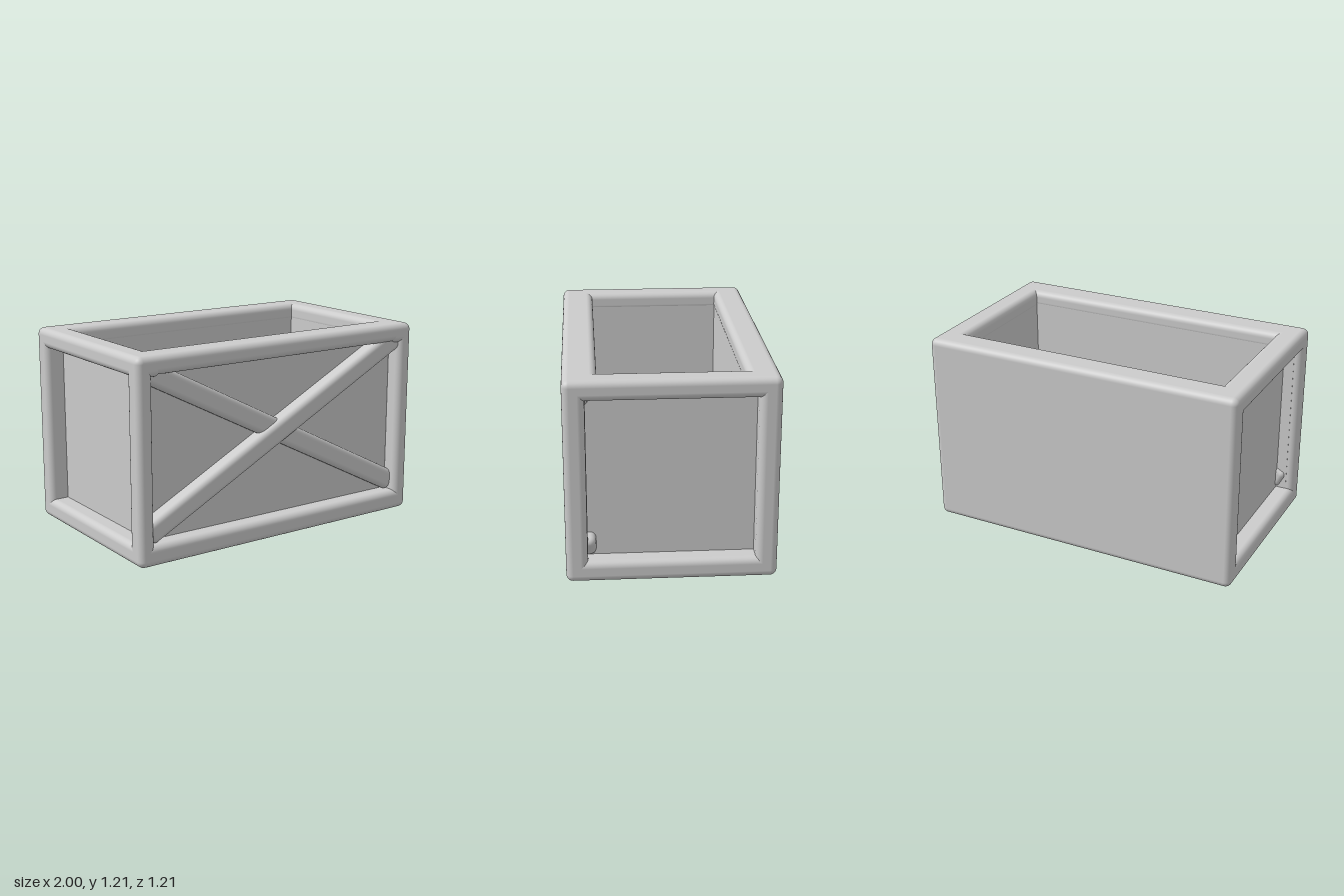
import * as THREE from 'three';
import { RoundedBoxGeometry } from 'three/addons/geometries/RoundedBoxGeometry.js';

const material = new THREE.MeshStandardMaterial({ color: 0xcccccc });

// Box given by its min and max on each axis; radius 0 keeps sharp edges.
function block(group, name, [x0, x1], [y0, y1], [z0, z1], radius = 0) {
  const size = [x1 - x0, y1 - y0, z1 - z0];
  const geometry = radius
    ? new RoundedBoxGeometry(...size, 5, radius)
    : new THREE.BoxGeometry(...size);
  const mesh = new THREE.Mesh(geometry, material);
  mesh.name = name;
  mesh.position.set((x0 + x1) / 2, (y0 + y1) / 2, (z0 + z1) / 2);
  group.add(mesh);
  return mesh;
}

export function createModel() {
  const crate = new THREE.Group();
  crate.name = 'crate';
  const H = 1.21, D = 0.605, R = 0.04;

  // Plain base and back
  block(crate, 'base', [-1, 1], [0, 0.125], [-D, D], R);
  block(crate, 'back', [-1, 1], [0, H], [-D, -0.48], R);

  // Top rim
  block(crate, 'rimFront', [-1, 1], [1.1, H], [0.41, D], R);
  block(crate, 'rimBack', [-1, 1], [1.09, H], [-D, -0.42], R);
  for (const [side, s] of [['Left', 1], ['Right', -1]]) {
    const span = (a, b) => (s > 0 ? [a, b] : [-b, -a]);
    block(crate, 'rim' + side, span(0.84, 1), [1.09, H], [-D, D], R);
    // Front corner post and recessed end panel
    block(crate, 'post' + side, span(0.9, 1), [0, H], [0.48, D], R);
    block(crate, 'endPanel' + side, span(0.842, 0.885), [0.06, 1.15], [-0.5, 0.49]);
  }

  // Inner walls and the recessed front panel
  block(crate, 'innerBackWall', [-0.87, 0.87], [0.06, 1.15], [-0.5, -0.422]);
  block(crate, 'innerFrontWall', [-0.87, 0.87], [0.06, 1.15], [0.412, 0.49]);
  block(crate, 'frontPanel', [-0.95, 0.95], [0.06, 1.15], [0.478, 0.495]);

  // Crossed braces, one slightly in front of the other
  const angle = Math.atan(0.517);
  for (const [name, s, z] of [['frontBrace', 1, 0.46], ['rearBrace', -1, 0.43]]) {
    const brace = block(crate, name, [-1.04, 1.04], [0.585, 0.715], [z, z + 0.125], 0.035);
    brace.rotation.z = s * angle;
  }
  return crate;
}
